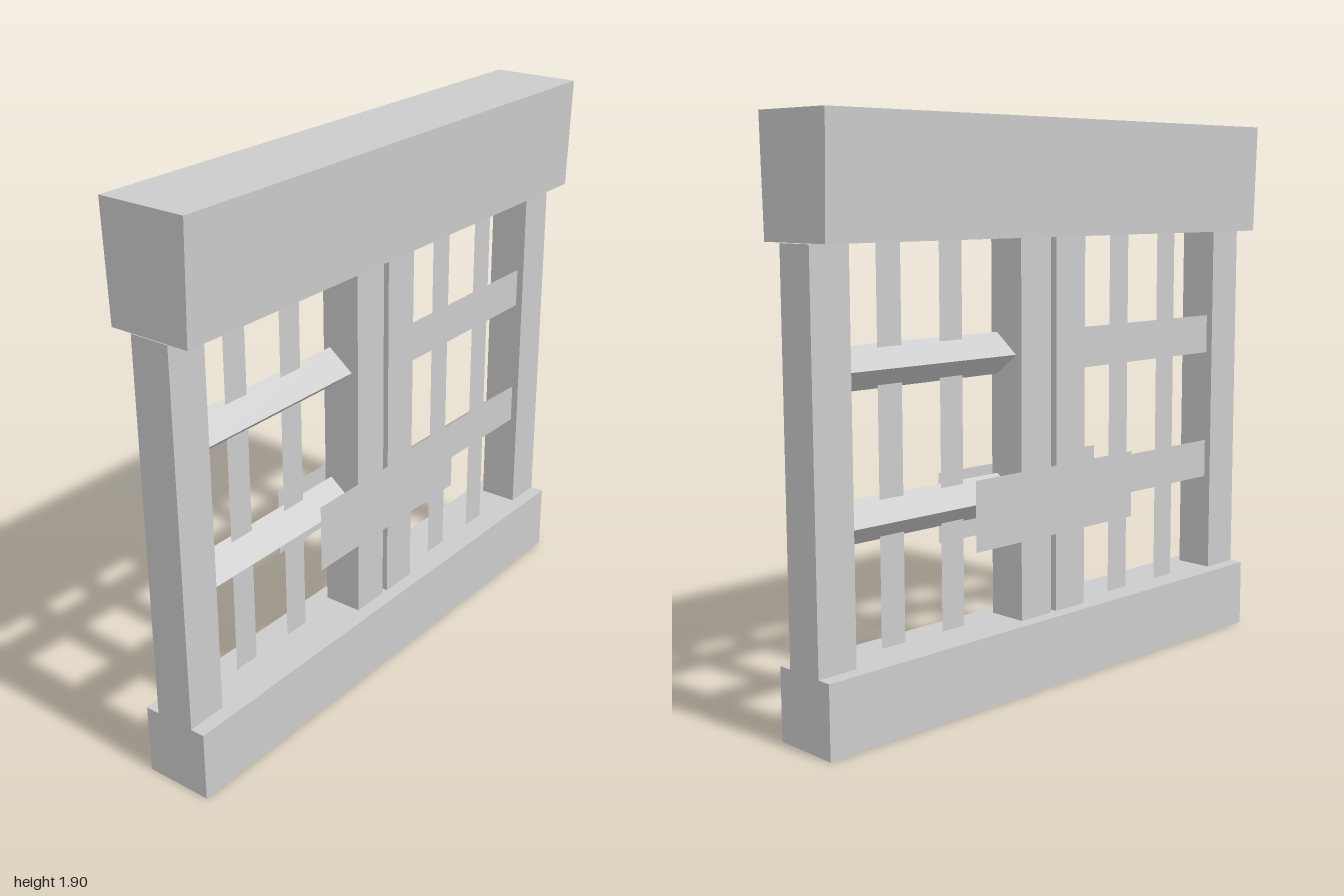
import * as THREE from 'three';

const mat = new THREE.MeshStandardMaterial({ color: 0xcccccc, flatShading: true });
const thinMat = new THREE.MeshStandardMaterial({ color: 0xcccccc, side: THREE.DoubleSide });

function add(parent, name, geometry, x, y, z, material = mat) {
  const mesh = new THREE.Mesh(geometry, material);
  mesh.name = name;
  mesh.position.set(x, y, z);
  parent.add(mesh);
  return mesh;
}

// Extrudes a [z, y] outline along x between x0 and x1
function prism(outline, x0, x1) {
  const shape = new THREE.Shape(outline.map(([z, y]) => new THREE.Vector2(-z, y)));
  const geometry = new THREE.ExtrudeGeometry(shape, { depth: x1 - x0, bevelEnabled: false });
  return geometry.rotateY(Math.PI / 2).translate(x0, 0, 0);
}

// One gate leaf on the -x side, with its share of the centre plate
function createLeaf() {
  const leaf = new THREE.Group();

  // Upright posts between sill and lintel
  for (const [name, x0, x1] of [['outerPost', -1, -0.857], ['innerPost', -0.153, -0.013]]) {
    add(leaf, name, new THREE.BoxGeometry(x1 - x0, 1.28, 0.14), (x0 + x1) / 2, 0.88, 0);
  }

  // Thin flat uprights
  for (const x of [-0.628, -0.372]) {
    add(leaf, 'verticalBar', new THREE.PlaneGeometry(0.097, 1.28), x, 0.88, -0.03, thinMat);
  }

  // Wedge-shaped cross bars, ridge to the front and flat at the back
  for (const y of [0.661, 1.137]) {
    const wedge = prism([[0.045, 0], [-0.045, 0.07], [-0.045, -0.07]], -0.857, -0.153);
    add(leaf, 'crossBar', wedge, 0, y, 0);
  }

  // Thin plate standing just in front of the inner posts
  add(leaf, 'lockPlate', new THREE.PlaneGeometry(0.757, 0.236), 0, 0.636, 0.09, thinMat);
  return leaf;
}

export function createModel() {
  const gate = new THREE.Group();
  gate.name = 'gate';

  // Sill and slightly flared lintel
  add(gate, 'sill', new THREE.BoxGeometry(2, 0.24, 0.24), 0, 0.12, 0);
  const lintel = prism([[-0.145, 1.522], [0.145, 1.522], [0.157, 1.902], [-0.157, 1.902]], -1, 1);
  add(gate, 'lintel', lintel, 0, 0, 0);

  // The second leaf is the first turned half round
  for (const [name, turn] of [['rightLeaf', 0], ['leftLeaf', Math.PI]]) {
    const leaf = createLeaf();
    leaf.name = name;
    leaf.rotation.y = turn;
    gate.add(leaf);
  }
  return gate;
}
